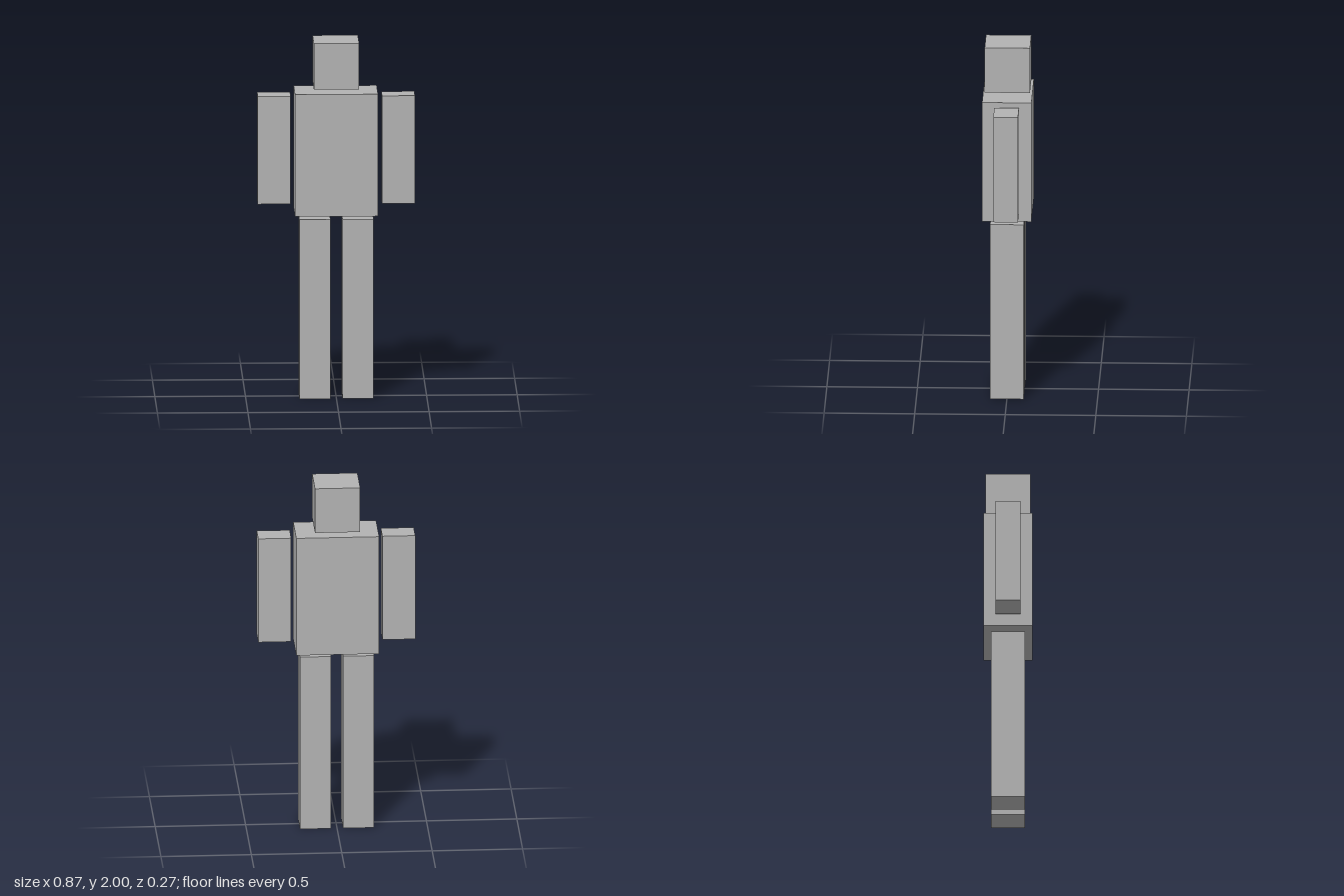
import * as THREE from 'three';

export function createModel() {
  const model = new THREE.Group();
  model.name = 'blockFigure';
  const grey = new THREE.MeshStandardMaterial({ color: 0xb2b2b2 });
  grey.name = 'plain grey';

  // Box given by its size, centre x and bottom height
  const block = (name, width, height, depth, x, bottom) => {
    const mesh = new THREE.Mesh(new THREE.BoxGeometry(width, height, depth), grey);
    mesh.name = name;
    mesh.position.set(x, bottom + height / 2, 0);
    model.add(mesh);
  };

  // Head and torso, with a small gap between them
  block('head', 0.25, 0.258, 0.25, -0.001, 1.742);
  block('torso', 0.458, 0.685, 0.272, -0.001, 1.031);

  // Floating arms and legs, mirrored
  for (const [side, s] of [['left', 1], ['right', -1]]) {
    block(side + 'Arm', 0.182, 0.605, 0.136, s * 0.343, 1.089);
    block(side + 'Leg', 0.172, 1.006, 0.186, s * 0.119, 0);
  }
  return model;
}
